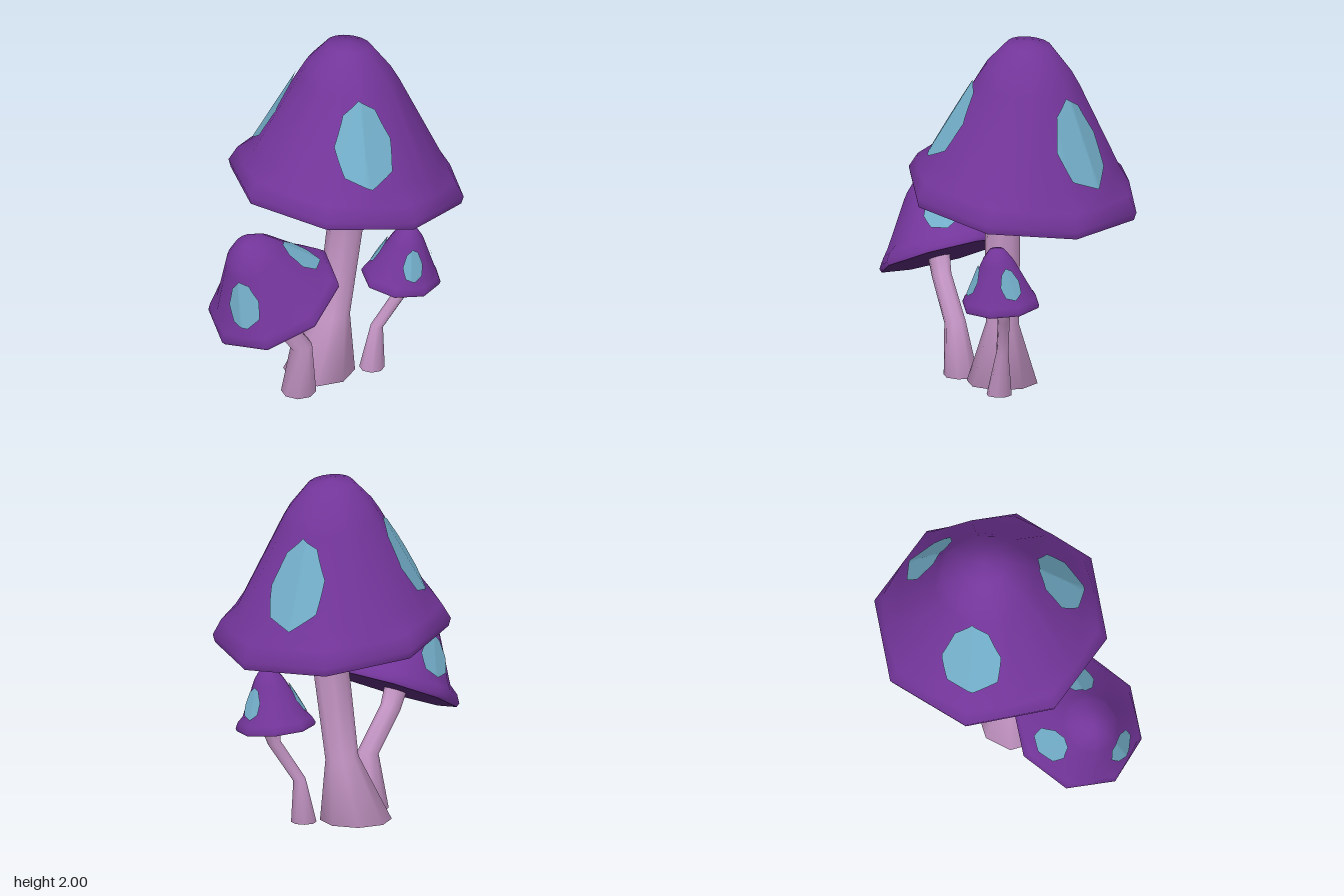
import * as THREE from 'three';
import { mergeVertices } from 'three/addons/utils/BufferGeometryUtils.js';

const DEG = Math.PI / 180;
const CAP_POINTS = 16; // eight corners with a point between each pair
const STEM_SIDES = 8;

const capMat = new THREE.MeshStandardMaterial({ color: 0x73359a });
const undersideMat = new THREE.MeshStandardMaterial({ color: 0x4c2468 });
const spotMat = new THREE.MeshStandardMaterial({ color: 0x72adc8 });
const stemMat = new THREE.MeshStandardMaterial({ color: 0xc898c8 });

// Cap profile from rim to crown: radius, height above the rim (unit = large cap),
// and fullness between the corners (0.924 = flat side, 1 = round)
const CAP = [
  [0.65, 0, 0.924], [0.663, 0.045, 0.924], [0.615, 0.13, 0.96], [0.52, 0.21, 1.03],
  [0.278, 0.67, 1.04], [0.237, 0.745, 1.02], [0.125, 0.88, 1], [0, 0.895, 1],
];
const BAND = 3; // the spots sit on the long slope after this ring

// Skin a stack of closed rings of points with smooth normals
function loft(rings) {
  const n = rings[0].length;
  const index = [];
  for (let i = 0; i < rings.length - 1; i++) {
    for (let j = 0; j < n; j++) {
      const k = (j + 1) % n;
      const a = i * n + j, b = i * n + k, c = b + n, d = a + n;
      index.push(a, b, c, a, c, d);
    }
  }
  const pts = rings.flat().flatMap((p) => [p.x, p.y, p.z]);
  let geo = new THREE.BufferGeometry();
  geo.setAttribute('position', new THREE.Float32BufferAttribute(pts, 3));
  geo.setIndex(index);
  geo = mergeVertices(geo, 1e-5);
  geo.computeVertexNormals();
  return geo;
}

function add(group, name, geo, mat) {
  const mesh = new THREE.Mesh(geo, mat);
  mesh.name = name;
  group.add(mesh);
}

// Radius factor of a regular octagon in direction a (1 at the corners)
function octagon(a) {
  const step = Math.PI / 4;
  const m = ((a % step) + step) % step;
  return Math.cos(step / 2) / Math.cos(m - step / 2);
}

function makeCap({ center, size, height, tilt, lean, turn, spots }) {
  const group = new THREE.Group();
  group.name = 'cap';
  const step = (Math.PI * 2) / CAP_POINTS;

  // Ring of the tilted, leaning cap
  const ring = ([r, h, full], out = 0) =>
    Array.from({ length: CAP_POINTS }, (_, j) => {
      const a = turn * DEG + j * step;
      const radius = r * size * (j % 2 ? full : 1) + out;
      const x = Math.sin(a) * radius;
      const z = Math.cos(a) * radius;
      return new THREE.Vector3(
        center[0] + (lean[0] * h) / 0.88 + x,
        center[1] + h * height + tilt[0] * x + tilt[1] * z,
        center[2] + (lean[1] * h) / 0.88 + z,
      );
    });
  add(group, 'capTop', loft(CAP.map((section) => ring(section))), capMat);
  add(group, 'capUnderside', loft([ring([0, 0, 1]), ring(CAP[0])]), undersideMat);

  // Eight-sided spots lying just proud of the slope
  const lower = ring(CAP[BAND], 0.012);
  const upper = ring(CAP[BAND + 1], 0.012);
  const along = (pts, i, f) =>
    pts[i % CAP_POINTS].clone().lerp(pts[(i + 1) % CAP_POINTS], f);
  const count = 64;
  const layers = 12;
  spots.forEach((dir) => {
    const rings = Array.from({ length: layers + 1 }, (_, i) =>
      Array.from({ length: count }, (_, j) => {
        const p = (j / count) * Math.PI * 2;
        const k = (1 - i / layers) * octagon(p);
        const u = ((dir - turn + 360) * DEG + Math.cos(p + 0.1) * k * 0.41) / step;
        const t = 0.5 + Math.sin(p + 0.1) * k * 0.49;
        const side = Math.floor(u);
        return along(lower, side, u - side).lerp(along(upper, side, u - side), t);
      }));
    add(group, 'spot', loft(rings), spotMat);
  });
  return group;
}

// Stem through sections [x, y, z, radius], closed under the foot
function makeStem(sections) {
  const ring = ([x, y, z, r], i) =>
    Array.from({ length: STEM_SIDES }, (_, j) => {
      const a = ((j + 0.4) / STEM_SIDES) * Math.PI * 2;
      // sections above the foot lie square to the bend of the stem
      const p = sections[Math.max(i - 1, 0)];
      const q = sections[Math.min(i + 1, sections.length - 1)];
      const dx = Math.sin(a) * r;
      const dz = Math.cos(a) * r;
      const drop = i === 0 ? 0 : ((q[0] - p[0]) * dx + (q[2] - p[2]) * dz) / (q[1] - p[1]);
      return new THREE.Vector3(x + dx, y - drop * 0.7, z + dz);
    });
  const [x, y, z] = sections[0];
  return loft([ring([x, y, z, 0], 0), ...sections.map(ring)]);
}

const MUSHROOMS = [
  {
    name: 'largeMushroom',
    cap: {
      center: [0.003, 1.1, -0.157], size: 1, height: 1, tilt: [-0.06, 0.14],
      lean: [0, -0.045], turn: 11, spots: [34, 166, 281],
    },
    stem: [
      [-0.09, 0, 0.02, 0.2], [-0.02, 0.36, -0.02, 0.092],
      [0.035, 0.88, -0.05, 0.1], [0.01, 1.13, -0.02, 0.14],
    ],
  },
  {
    name: 'frontMushroom',
    cap: {
      center: [-0.193, 0.65, 0.443], size: 0.55, height: 0.475, tilt: [0.2, -0.4],
      lean: [-0.115, 0.16], turn: 14, spots: [356, 124, 239],
    },
    stem: [
      [-0.11, 0, 0.29, 0.098], [-0.085, 0.31, 0.315, 0.06],
      [-0.18, 0.54, 0.45, 0.055], [-0.21, 0.68, 0.49, 0.065],
    ],
  },
  {
    name: 'smallMushroom',
    cap: {
      center: [0.315, 0.55, -0.19], size: 0.335, height: 0.38, tilt: [-0.1, 0],
      lean: [0.05, 0], turn: 12, spots: [40, 145, 280],
    },
    stem: [
      [0.177, 0, -0.105, 0.071], [0.195, 0.25, -0.135, 0.034],
      [0.32, 0.47, -0.21, 0.034], [0.34, 0.57, -0.21, 0.058],
    ],
  },
];

export function createModel() {
  const model = new THREE.Group();
  model.name = 'mushroomCluster';
  MUSHROOMS.forEach(({ name, cap, stem }) => {
    const mushroom = new THREE.Group();
    mushroom.name = name;
    add(mushroom, 'stem', makeStem(stem), stemMat);
    mushroom.add(makeCap(cap));
    model.add(mushroom);
  });
  return model;
}
